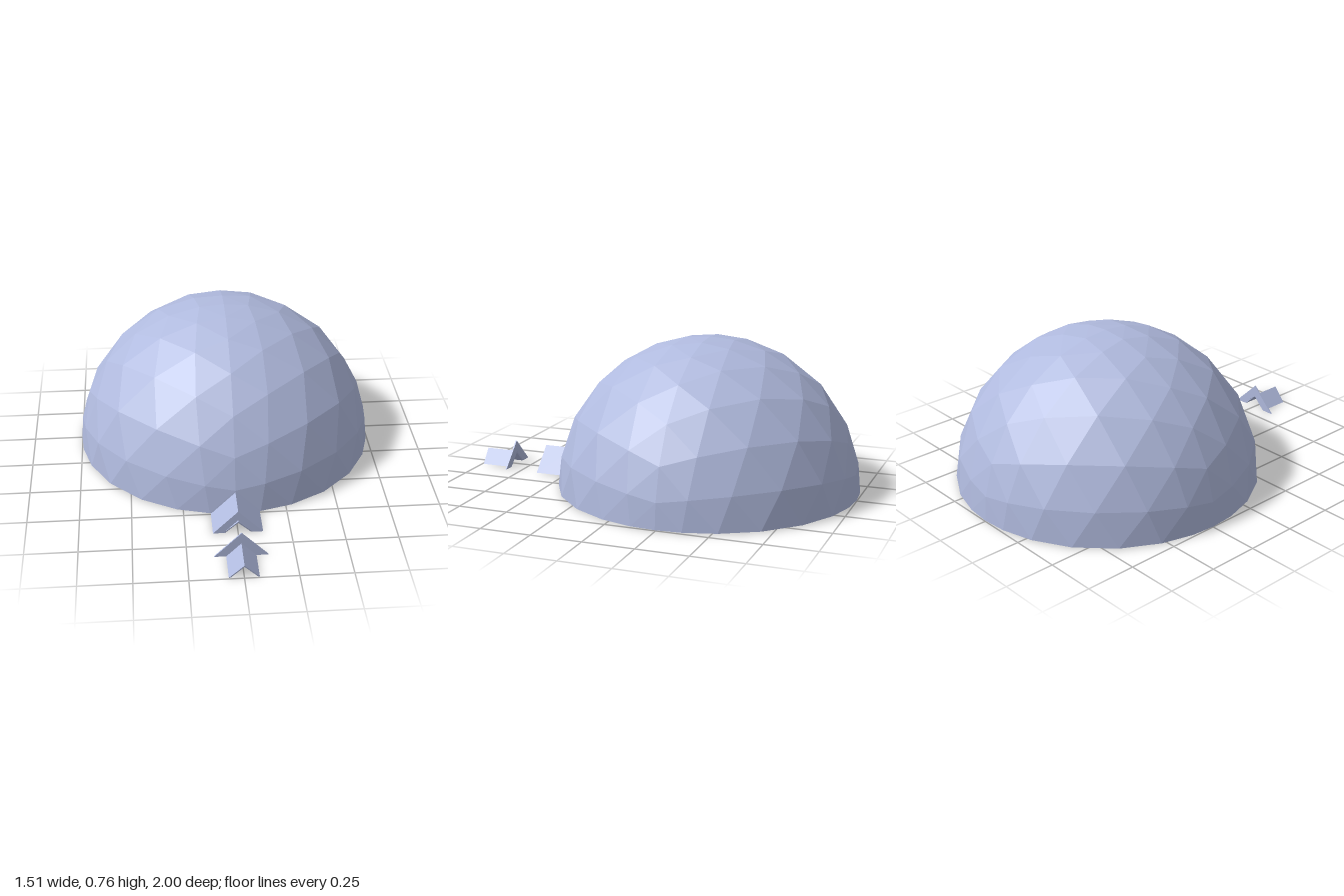
import * as THREE from 'three';

const paint = new THREE.MeshStandardMaterial({ color: 0xb0bade, flatShading: true });
paint.name = 'pale blue';

// Thin faceted half shell: outer skin, inward-facing skin and the rim joining them
function domeGeometry(radius, thickness) {
  const source = new THREE.OctahedronGeometry(radius, 6).getAttribute('position');
  const k = (radius - thickness) / radius;
  const out = [];
  const face = (...points) => points.forEach((p) => out.push(p.x, p.y, p.z));
  const inner = (p) => p.clone().multiplyScalar(k);
  for (let i = 0; i < source.count; i += 3) {
    const tri = [0, 1, 2].map((j) => new THREE.Vector3().fromBufferAttribute(source, i + j));
    if (tri[0].y + tri[1].y + tri[2].y < 0.001) continue;
    const [a, b, c] = tri;
    face(a, b, c);
    face(inner(a), inner(c), inner(b));
    for (let j = 0; j < 3; j++) {
      const p = tri[j], q = tri[(j + 1) % 3];
      if (Math.abs(p.y) > 1e-4 || Math.abs(q.y) > 1e-4) continue;
      face(q, p, inner(p));
      face(q, inner(p), inner(q));
    }
  }
  const g = new THREE.BufferGeometry();
  g.setAttribute('position', new THREE.Float32BufferAttribute(out, 3));
  g.computeVertexNormals();
  return g;
}

// Inverted V section (45 degree roof, open below) from z0 to z1; lean pulls the foot of the front end back
function tent(name, half, hole, z0, z1, lean = 0) {
  const s = new THREE.Shape([
    [-half, 0], [-hole, 0], [0, hole], [hole, 0], [half, 0], [0, half],
  ].map(([x, y]) => new THREE.Vector2(x, y)));
  const g = new THREE.ExtrudeGeometry(s, { depth: z1 - z0, bevelEnabled: false });
  const p = g.getAttribute('position');
  for (let i = 0; i < p.count; i++) {
    const front = p.getZ(i) > (z1 - z0) / 2;
    p.setZ(i, p.getZ(i) + z0 - (front ? lean * (1 - p.getY(i) / half) : 0));
  }
  g.computeVertexNormals();
  const mesh = new THREE.Mesh(g, paint);
  mesh.name = name;
  return mesh;
}

export function createModel() {
  const model = new THREE.Group();
  model.name = 'domeShelter';

  const dome = new THREE.Mesh(domeGeometry(0.753, 0.01), paint);
  dome.name = 'dome';
  dome.position.set(0, 0.004, -0.247);
  model.add(dome);

  // Entrance attached to the dome, with an end plate and a short stub
  const entrance = new THREE.Group();
  entrance.name = 'entrance';
  entrance.add(
    tent('entranceRoof', 0.119, 0.111, 0.49, 0.655),
    tent('entranceEndPlate', 0.119, 0.066, 0.649, 0.655),
    tent('entranceStub', 0.07, 0.062, 0.649, 0.667, 0.012),
  );

  // Separate outer porch with a wider plate at its back
  const porch = new THREE.Group();
  porch.name = 'porch';
  porch.add(
    tent('porchBackPlate', 0.126, 0.066, 0.828, 0.835),
    tent('porchRoof', 0.07, 0.062, 0.83, 1.0, 0.008),
  );
  model.add(entrance, porch);
  return model;
}
